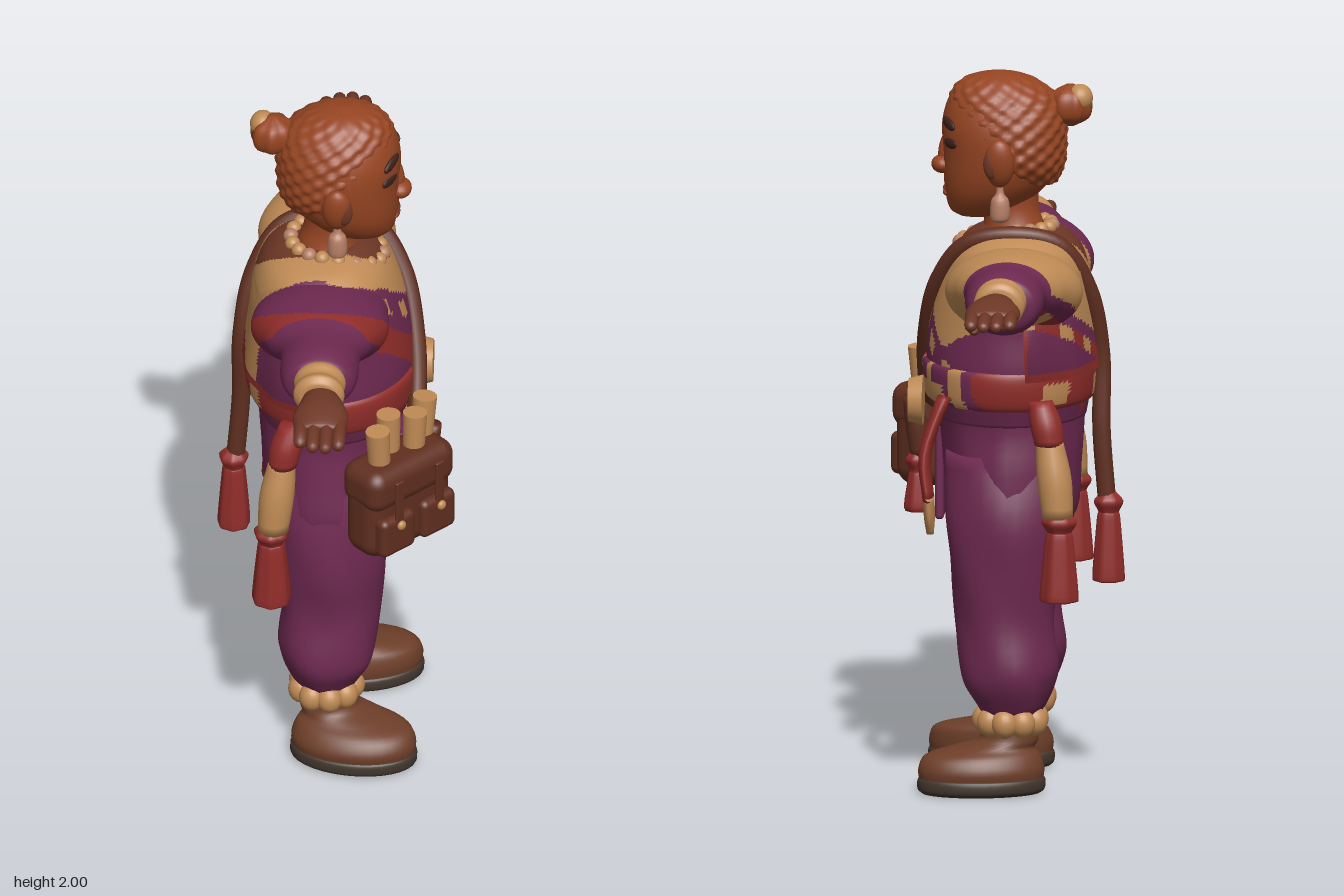
import * as THREE from 'three';
import { RoundedBoxGeometry } from 'three/addons/geometries/RoundedBoxGeometry.js';

const mat = (name, color, side = THREE.FrontSide) => {
  const m = new THREE.MeshStandardMaterial({ color, side });
  m.name = name;
  return m;
};

export function createModel() {
  const purple = mat('purple cloth', 0x6e2950, THREE.DoubleSide), cream = mat('cream cloth', 0xc08b55, THREE.DoubleSide);
  const red = mat('red cloth', 0x902d2a, THREE.DoubleSide), skin = mat('skin', 0x964522);
  const hand = mat('dark skin', 0x6e3726), leather = mat('bag leather', 0x602f20);
  const shoe = mat('shoe leather', 0x6d3e29), sole = mat('sole', 0x41362d);
  const pink = mat('earring', 0xb57f66), dark = mat('eye dark', 0x40221c);

  const model = new THREE.Group();
  model.name = 'traveller';
  const body = new THREE.Group(); // built facing +z, then turned to face +x
  body.name = 'figure';
  body.rotation.y = Math.PI / 2;
  model.add(body);

  const add = (name, geo, material, pos = [0, 0, 0], scale = [1, 1, 1], parent = body) => {
    const m = new THREE.Mesh(geo, material);
    m.name = name;
    m.position.set(...pos);
    m.scale.set(...scale);
    parent.add(m);
    return m;
  };
  const ball = (name, material, pos, scale, parent) =>
    add(name, new THREE.SphereGeometry(1, 20, 14), material, pos, scale, parent);

  // Closed body through elliptical sections [y, cx, cz, rx, rz], listed upwards
  function loft(sections, { seg = 32, steps = 4, bump = () => 1 } = {}) {
    const mid = new THREE.CatmullRomCurve3(sections.map(s => new THREE.Vector3(s[1], s[0], s[2])), false, 'catmullrom');
    const rad = new THREE.CatmullRomCurve3(sections.map(s => new THREE.Vector3(s[3], s[4], 0)), false, 'catmullrom');
    const rows = (sections.length - 1) * steps, pos = [], idx = [];
    for (let j = 0; j <= rows; j++) {
      const c = mid.getPoint(j / rows), r = rad.getPoint(j / rows);
      for (let i = 0; i < seg; i++) {
        const a = i / seg * Math.PI * 2, k = bump(a, c.y);
        pos.push(c.x + r.x * k * Math.sin(a), c.y, c.z + r.y * k * Math.cos(a));
      }
    }
    for (let j = 0; j < rows; j++) for (let i = 0; i < seg; i++) {
      const n = (i + 1) % seg, a = j * seg + i, b = j * seg + n;
      idx.push(a, b, b + seg, a, b + seg, a + seg);
    }
    for (const [row, flip] of [[0, true], [rows, false]]) {
      const s = sections[flip ? 0 : sections.length - 1], c = pos.length / 3;
      pos.push(s[1], s[0], s[2]);
      for (let i = 0; i < seg; i++) {
        const a = row * seg + i, b = row * seg + (i + 1) % seg;
        flip ? idx.push(c, b, a) : idx.push(c, a, b);
      }
    }
    const g = new THREE.BufferGeometry();
    g.setAttribute('position', new THREE.Float32BufferAttribute(pos, 3));
    g.setIndex(idx);
    g.computeVertexNormals();
    return g;
  }

  // Sort faces into material groups by a rule on their centres
  function paint(g, count, rule) {
    const p = g.attributes.position, ix = g.index.array, lists = Array.from({ length: count }, () => []);
    for (let f = 0; f < ix.length; f += 3) {
      const t = [ix[f], ix[f + 1], ix[f + 2]];
      const c = fn => t.reduce((s, v) => s + fn.call(p, v), 0) / 3;
      lists[rule(c(p.getX), c(p.getY), c(p.getZ))].push(...t);
    }
    g.setIndex(lists.flat());
    let start = 0;
    lists.forEach((l, i) => { g.addGroup(start, l.length, i); start += l.length; });
    return g;
  }

  // Shawl pattern: 0 purple, 1 cream, 2 red, 3 bare skin at the neck
  const cloth = [purple, cream, red, hand];
  function shawl(x, y, z) {
    const edge = y - (1.53 - (x + 0.2) * 0.72), band = y - (1.53 - (x + 0.2) * 0.9);
    if (z > -0.03) {
      if (y > 1.5 + Math.abs(x) * 0.6 && Math.abs(x) < 0.09) return 3;
      if (edge > 0 && x > -0.2 && x < 0.39 && y > 1.22 + (x - 0.15) * 0.86) return 1;
      if (edge > -0.08 && edge < -0.03 && Math.sin(x * 70) > 0.1 && x > -0.15) return 1;
    } else {
      const back = y - (1.2 + (x + 0.1) * 0.5);
      if (y > 1.46 + Math.abs(x) && Math.abs(x) < 0.1) return 3;
      if (x > -0.19 && x < 0.39 && back > 0) return 1;
      if (x > -0.1 && x < 0.39 && back > -0.08 && back < -0.04) return Math.sin(x * 60) > 0.2 ? 1 : 2;
    }
    return band > -0.215 && band < -0.12 && x < 0.1 && x > -0.37 ? 2 : 0;
  }

  // Tunic, hips and belt
  add('tunic', paint(loft([[1.04, 0, -0.02, 0.25, 0.21], [1.12, 0, -0.02, 0.275, 0.225], [1.2, 0, -0.025, 0.285, 0.238],
    [1.3, 0, -0.025, 0.28, 0.228], [1.42, 0, -0.035, 0.28, 0.208], [1.5, 0, -0.04, 0.25, 0.18], [1.545, 0, -0.04, 0.19, 0.14],
    [1.57, 0, -0.03, 0.1, 0.09]], { seg: 120, steps: 10 }), 4, shawl), cloth);
  add('hips', loft([[0.72, -0.01, -0.02, 0.2, 0.13], [0.77, -0.01, -0.025, 0.268, 0.18], [0.9, 0, -0.027, 0.262, 0.19],
    [1.02, 0, -0.025, 0.245, 0.2], [1.13, 0, -0.02, 0.26, 0.21]], { bump: a => 1 + 0.015 * Math.sin(a * 9) }), purple);
  add('belt', paint(loft([[1.085, 0, -0.02, 0.25, 0.2], [1.095, 0, -0.02, 0.28, 0.234], [1.15, 0, -0.02, 0.292, 0.243],
    [1.195, 0, -0.02, 0.287, 0.241], [1.205, 0, -0.02, 0.26, 0.21]], { seg: 96, steps: 5 }), 3, (x, y, z) => {
    if (z < 0) return Math.sin(x * 34) > 0.5 && y > 1.105 && y < 1.165 ? 1 : 2;
    if (x > -0.12 && x < 0.2 && y < 1.15) return 1;
    return x > 0.02 && x < 0.27 ? (Math.sin(x * 60) > 0.6 ? 1 : 0) : 2;
  }), cloth);
  add('frontFlap', new RoundedBoxGeometry(0.13, 0.27, 0.025, 3, 0.011), purple, [-0.065, 0.865, 0.178]);
  const medal = add('medallion', new THREE.CylinderGeometry(0.06, 0.07, 0.04, 28), cream, [0.11, 1.09, 0.235]);
  medal.rotation.x = Math.PI / 2;

  // Loose back of the shawl, an open sheet with a red hem
  const cape = new THREE.PlaneGeometry(1, 1, 72, 24);
  const cp = cape.attributes.position;
  for (let i = 0; i < cp.count; i++) {
    const a = Math.PI + cp.getX(i) * 2.75, v = 0.5 - cp.getY(i);
    const r = 1 + 0.012 * Math.sin(a * 11) * v;
    cp.setXYZ(i, r * (0.295 + 0.045 * Math.sin(v * 2.6)) * Math.sin(a), 1.46 - 0.28 * v, -0.035 + r * (0.2 + 0.035 * v) * Math.cos(a));
  }
  cape.computeVertexNormals();
  cape.clearGroups();
  add('shawlBack', paint(cape, 4, (x, y, z) => z > -0.09 || y < 1.205 ? 2 : shawl(x, y, z)), cloth);

  // Trousers, anklets and shoes
  for (const [side, knee, ankle, foot] of [[1, 0.145, 0.145, 0.17], [-1, -0.165, -0.18, -0.235]]) {
    add('trouserLeg', loft([[0.225, ankle, -0.03, 0.085, 0.085], [0.25, ankle, -0.03, 0.1, 0.1],
      [0.3, ankle, -0.025, 0.125, 0.125], [0.36, (ankle + knee) / 2, -0.025, 0.134, 0.137], [0.48, knee, -0.015, 0.12, 0.137],
      [0.62, knee, -0.015, 0.13, 0.152], [0.78, side * 0.145, -0.02, 0.136, 0.17], [0.95, side * 0.12, -0.02, 0.12, 0.17]],
    { bump: (a, y) => 1 + 0.022 * Math.sin(a * 5 + y * 16) }), purple);
    add('ankle', new THREE.CylinderGeometry(0.068, 0.068, 0.1, 20), hand, [ankle, 0.2, -0.03]);
    for (let i = 0; i < 9; i++) {
      const a = i / 9 * Math.PI * 2;
      ball('ankletBead', cream, [ankle + 0.076 * Math.sin(a), 0.2, -0.03 + 0.072 * Math.cos(a)], [0.036, 0.041, 0.036]);
    }
    const f = new THREE.Group();
    f.name = 'shoe';
    f.position.set(foot, 0, 0);
    f.rotation.y = side * 0.15;
    body.add(f);
    const lean = ankle - foot;
    add('shoeSole', loft([[0, 0, 0.05, 0.095, 0.165], [0.012, 0, 0.05, 0.11, 0.177], [0.038, 0, 0.05, 0.11, 0.177],
      [0.048, 0, 0.05, 0.1, 0.165]]), sole, [0, 0, 0], [1, 1, 1], f);
    add('shoeUpper', loft([[0.035, 0, 0.05, 0.104, 0.172], [0.07, 0, 0.05, 0.107, 0.175], [0.105, lean * 0.2, 0.046, 0.095, 0.16],
      [0.125, lean * 0.5, 0.02, 0.078, 0.12], [0.145, lean * 0.85, -0.025, 0.075, 0.085], [0.178, lean, -0.03, 0.074, 0.078]]),
    shoe, [0, 0, 0], [1, 1, 1], f);
  }

  // Arms: sections run outwards as [x, y, z, ry, rz]
  for (const side of [1, -1]) {
    const arm = (list, opt) => loft(list.map(([s, cy, cz, ry, rz]) => [s, -side * cy, cz, ry, rz]), opt)
      .rotateZ(-side * Math.PI / 2);
    add('sleeve', paint(arm([[0.14, 1.42, -0.04, 0.11, 0.18], [0.25, 1.425, -0.045, 0.12, 0.19], [0.34, 1.447, -0.042, 0.096, 0.152],
      [0.41, 1.45, -0.035, 0.082, 0.112], [0.5, 1.443, -0.035, 0.09, 0.108], [0.55, 1.445, -0.035, 0.077, 0.095],
      [0.568, 1.455, -0.035, 0.05, 0.06]], { seg: 60, steps: 10 }), 4, shawl), cloth);
    add('cuff', arm([[0.54, 1.46, -0.03, 0.05, 0.055], [0.57, 1.46, -0.03, 0.066, 0.072], [0.6, 1.46, -0.03, 0.056, 0.062],
      [0.635, 1.462, -0.03, 0.066, 0.071], [0.655, 1.462, -0.03, 0.045, 0.05]]), cream);
    add('hand', arm([[0.64, 1.462, -0.025, 0.036, 0.045], [0.69, 1.46, -0.02, 0.042, 0.063], [0.74, 1.46, -0.02, 0.037, 0.076],
      [0.8, 1.455, -0.02, 0.024, 0.071], [0.81, 1.455, -0.02, 0.01, 0.055]]), hand);
    [0.865, 0.885, 0.89, 0.875].forEach((tip, i) => {
      const z = -0.073 + i * 0.0355;
      add('finger', arm([[0.75, 1.458, z, 0.02, 0.019], [0.82, 1.455, z, 0.02, 0.0195], [tip - 0.012, 1.447, z, 0.016, 0.017],
        [tip, 1.445, z, 0.005, 0.005]], { seg: 12 }), hand);
    });
    const thumb = ball('thumb', hand, [side * 0.74, 1.428, 0.03], [0.058, 0.02, 0.022]);
    thumb.rotation.z = -side * 0.25;
  }

  // Neck, head and braided hair
  add('neck', loft([[1.5, 0, -0.02, 0.12, 0.1], [1.56, 0, -0.03, 0.085, 0.085], [1.62, 0, -0.02, 0.072, 0.078],
    [1.7, 0, -0.01, 0.08, 0.09]]), skin);
  add('head', loft([[1.592, 0, 0.07, 0.035, 0.05], [1.61, 0, 0.055, 0.075, 0.092], [1.65, 0, 0.035, 0.112, 0.125],
    [1.7, 0, 0.015, 0.138, 0.15], [1.77, 0, 0, 0.152, 0.166], [1.85, 0, 0, 0.15, 0.17], [1.92, 0, 0.005, 0.124, 0.148],
    [1.965, 0, 0.012, 0.086, 0.108], [1.985, 0, 0.015, 0.05, 0.06], [1.993, 0, 0.015, 0.005, 0.005]]), skin);
  const braids = (a, y) => 1 + 0.035 * Math.sin(a * 15) * Math.sin(y * 150);
  add('braidedHair', loft([[1.69, 0, -0.045, 0.1, 0.105], [1.74, 0, -0.03, 0.145, 0.14], [1.8, 0, -0.025, 0.157, 0.15],
    [1.87, 0, -0.015, 0.15, 0.158], [1.93, 0, 0, 0.125, 0.148], [1.97, 0, 0.01, 0.09, 0.11], [1.99, 0, 0.012, 0.055, 0.065],
    [2, 0, 0.012, 0.005, 0.005]], { seg: 120, steps: 8, bump: braids }), skin);
  add('hairBun', loft([[-0.058, 0, 0, 0.012, 0.012], [-0.035, 0, 0, 0.05, 0.05], [0, 0, 0, 0.06, 0.06], [0.035, 0, 0, 0.05, 0.05],
    [0.058, 0, 0, 0.012, 0.012]], { seg: 36, bump: a => 1 + 0.06 * Math.sin(a * 7) }), skin, [0, 1.905, -0.185]);
  ball('bunWrap', cream, [0.012, 1.928, -0.213], [0.04, 0.038, 0.036]);
  ball('noseTip', skin, [0, 1.735, 0.168], [0.04, 0.026, 0.032]);
  const bridge = ball('noseBridge', skin, [0, 1.775, 0.16], [0.02, 0.055, 0.02]);
  bridge.rotation.x = -0.15;
  ball('upperLip', hand, [0, 1.67, 0.155], [0.036, 0.006, 0.013]);
  ball('lowerLip', skin, [0, 1.657, 0.154], [0.034, 0.011, 0.014]);
  for (const s of [1, -1]) {
    const eye = ball('eye', dark, [s * 0.076, 1.808, 0.142], [0.037, 0.016, 0.008]);
    eye.rotation.y = s * 0.5;
    const brow = ball('eyebrow', dark, [s * 0.072, 1.862, 0.147], [0.041, 0.016, 0.009]);
    brow.rotation.set(0, s * 0.45, -s * 0.2);
    const ear = ball('ear', skin, [s * 0.172, 1.77, 0], [0.03, 0.07, 0.042]);
    ear.rotation.z = -s * 0.2;
    ball('innerEar', hand, [s * 0.184, 1.77, 0.02], [0.015, 0.042, 0.024]);
    add('earring', loft([[-0.05, 0, 0, 0.012, 0.012], [-0.038, 0, 0, 0.027, 0.027], [0.01, 0, 0, 0.025, 0.025],
      [0.03, 0, 0, 0.012, 0.012], [0.06, 0, 0, 0.008, 0.008]], { seg: 16 }), pink, [s * 0.145, 1.65, 0]);
  }
  for (let i = 0; i < 18; i++) {
    const a = i / 18 * Math.PI * 2, front = Math.max(0, Math.cos(a));
    ball('necklaceBead', i % 3 ? cream : pink, [0.11 * Math.sin(a), 1.566 - 0.05 * front, -0.025 + 0.11 * Math.cos(a) + 0.035 * front],
      [0.021, 0.021, 0.021]);
  }

  // Shoulder strap, over the left shoulder and down the back
  const strap = new THREE.CatmullRomCurve3([[-0.2, 1.02, 0.21], [-0.12, 1.12, 0.22], [-0.03, 1.26, 0.213], [0.06, 1.42, 0.175],
    [0.115, 1.53, 0.095], [0.13, 1.56, -0.03], [0.11, 1.53, -0.16], [0.07, 1.4, -0.24], [0.03, 1.22, -0.272],
    [0.045, 1.0, -0.275], [0.045, 0.8, -0.29]].map(p => new THREE.Vector3(...p)));
  add('shoulderStrap', new THREE.TubeGeometry(strap, 80, 0.026, 12), leather);

  // Hanging tassels
  function tassel(x, z, knot, end, size) {
    add('tassel', loft([[end, x, z, size, size], [end + 0.02, x, z, size * 1.1, size * 1.1], [knot - 0.05, x, z, size * 0.8, size * 0.8],
      [knot - 0.03, x, z, size * 0.7, size * 0.7], [knot, x, z, size, size], [knot + 0.025, x, z, size * 0.5, size * 0.5]],
    { seg: 28, bump: a => 1 + 0.05 * Math.sin(a * 7) }), red);
  }
  const cord = (material, x, z, low, high, r) =>
    add('tasselCord', loft([[low, x, z, r, r], [(low + high) / 2, x * 0.97, z + 0.01, r * 1.12, r * 1.12],
      [high, x * 0.92, z + 0.025, r * 0.85, r * 0.85]], { seg: 18 }), material);
  for (const x of [0.3, -0.315]) {
    tassel(x, -0.175, 0.79, 0.565, 0.048);
    cord(cream, x, -0.17, 0.8, 1.02, 0.043);
    cord(red, x * 0.93, -0.145, 1.0, 1.12, 0.04);
  }
  tassel(0.045, -0.295, 0.8, 0.575, 0.04);
  tassel(-0.16, 0.245, 0.87, 0.725, 0.036);
  cord(leather, -0.16, 0.24, 0.88, 1.05, 0.028);
  add('sashEnd', loft([[0.84, 0.268, 0.19, 0.055, 0.016], [0.97, 0.25, 0.2, 0.05, 0.018], [1.12, 0.215, 0.15, 0.045, 0.02]]), red);
  add('sashTip', loft([[0.745, 0.275, 0.185, 0.012, 0.01], [0.79, 0.272, 0.187, 0.04, 0.015], [0.85, 0.267, 0.19, 0.056, 0.016]]), cream);

  // Satchel on the right hip, with scrolls
  const bag = new THREE.Group();
  bag.name = 'satchel';
  bag.position.set(-0.31, 0.92, 0.175);
  bag.rotation.y = -Math.PI / 4;
  body.add(bag);
  const box = (name, size, r, material, pos) =>
    add(name, new RoundedBoxGeometry(...size, 4, r), material, pos, [1, 1, 1], bag);
  box('bagBody', [0.31, 0.28, 0.14], 0.055, leather, [0, 0, 0]);
  box('bagFlap', [0.315, 0.13, 0.155], 0.045, leather, [0, 0.085, 0.002]);
  for (const s of [1, -1]) {
    box('bagPocket', [0.125, 0.12, 0.05], 0.02, leather, [s * 0.075, -0.055, 0.068]);
    box('bagStrap', [0.03, 0.15, 0.012], 0.005, leather, [s * 0.075, 0.045, 0.088]);
    ball('bagToggle', cream, [s * 0.075, -0.02, 0.097], [0.014, 0.014, 0.01], bag);
  }
  [-0.075, -0.012, 0.055, 0.115].forEach((x, i) => {
    const roll = add('scroll', new THREE.CylinderGeometry(0.034, 0.028, 0.2, 18), cream,
      [x, 0.15 + 0.012 * (i % 2), i % 2 ? -0.025 : 0.005], [1, 1, 1], bag);
    roll.rotation.z = -x * 0.8;
  });
  return model;
}
